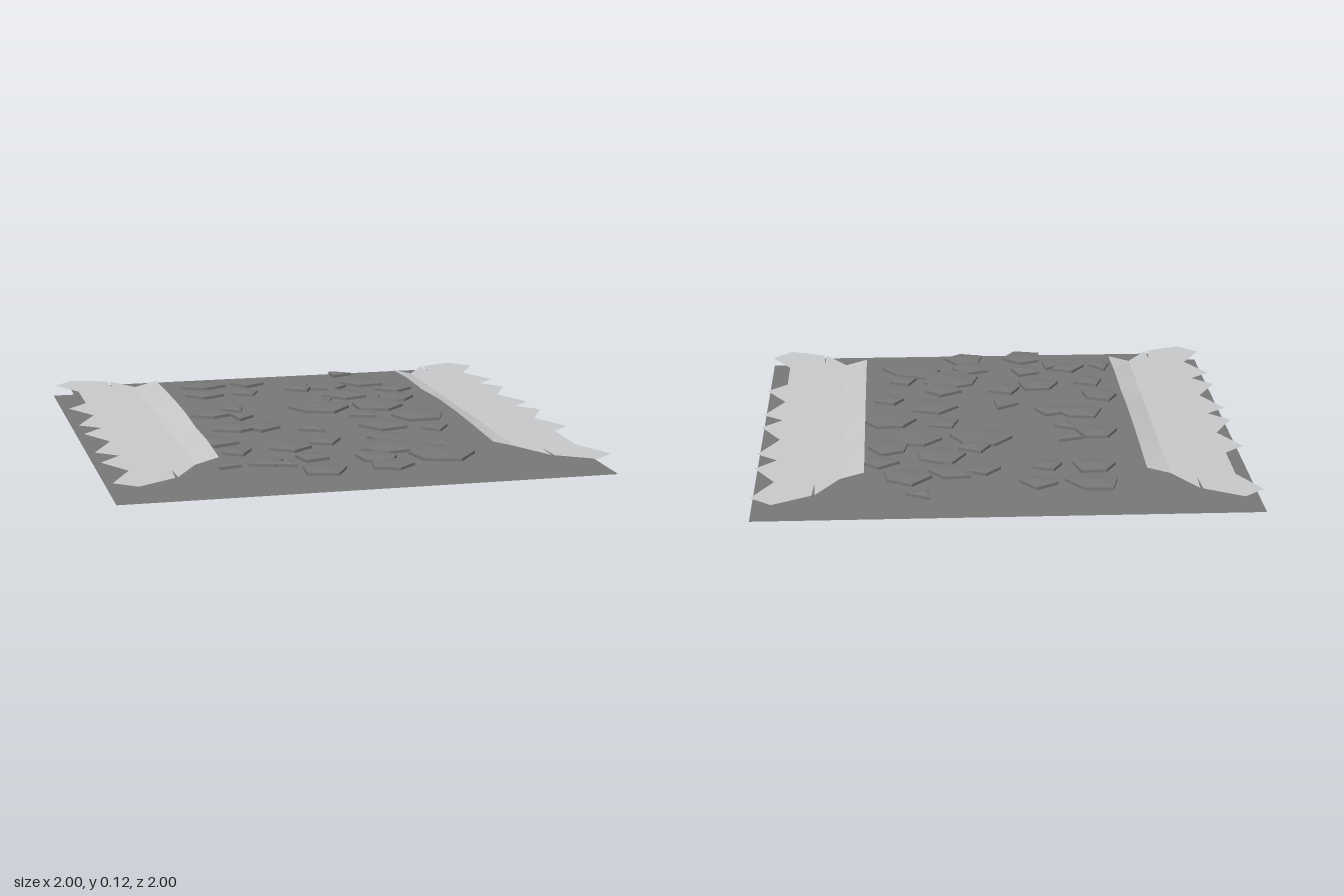
import * as THREE from 'three';

const groundMat = new THREE.MeshStandardMaterial({ color: 0x777777, flatShading: true, side: THREE.DoubleSide });
groundMat.name = 'dark grey ground';
const slabMat = new THREE.MeshStandardMaterial({ color: 0xc6c8ca, flatShading: true, side: THREE.DoubleSide });
slabMat.name = 'light grey bank';

// Stones set in the road: x, z, radius
const STONES = [
  -.35, -.79, .11, -.13, -.78, .08, -.37, -.6, .09, -.18, -.59, .07, -.41, -.19, .09,
  -.29, -.25, .06, -.29, -.1, .06, -.36, .08, .1, -.24, .1, .08, -.04, .19, .06,
  -.48, .31, .09, -.45, .51, .07, -.21, .47, .09, -.06, .41, .08, -.36, .71, .08,
  -.17, .67, .08, -.29, .75, .06, -.17, .87, .09, -.52, .73, .06, .33, -.89, .06,
  .09, -.63, .07, .21, -.64, .09, .4, -.69, .1, .26, -.44, .12, .5, -.52, .08,
  .46, -.35, .09, .11, -.35, .08, .07, -.22, .13, .34, -.21, .13, .23, -.05, .08,
  .46, .01, .13, .27, .18, .11, .45, .27, .07, .23, .42, .09, .17, .55, .13,
  .4, .55, .07, .34, .71, .14, .09, .73, .09, .11, .86, .09,
];

// Seeded random numbers for the stone outlines
let seed = 11;
const rand = () => (seed = (seed * 16807) % 2147483647) / 2147483647;

function plane(name, size, y) {
  const mesh = new THREE.Mesh(new THREE.PlaneGeometry(size, size).rotateX(-Math.PI / 2), groundMat);
  mesh.position.y = y;
  mesh.name = name;
  return mesh;
}

// Low irregular stone with a slightly raised middle
function stone(x, z, r) {
  const sides = r > .12 ? 6 : r > .08 ? 5 : r > .06 ? 4 : 3;
  const scale = Array.from({ length: sides }, () => .8 + rand() * .35);
  const geo = new THREE.CylinderGeometry(r, r, .012, sides, 1);
  const p = geo.attributes.position;
  for (let i = 0; i < p.count; i++) {
    const px = p.getX(i), pz = p.getZ(i);
    if (Math.hypot(px, pz) < 1e-4) {
      if (p.getY(i) > 0) p.setY(i, .014);
      continue;
    }
    const k = Math.round(Math.atan2(px, pz) / (2 * Math.PI) * sides + sides) % sides;
    p.setX(i, px * scale[k]);
    p.setZ(i, pz * scale[k]);
  }
  const mesh = new THREE.Mesh(geo, groundMat);
  mesh.position.set(x, .058, z);
  mesh.rotation.y = rand() * 6.28;
  mesh.name = 'stone';
  return mesh;
}

function bank() {
  const group = new THREE.Group();

  // Jagged, nearly flat outer part with a slit near each end
  const end = [[.655, .75], [.75, .915], [.754, .79], [.762, .92], [.915, 1], [1, .915], [.915, .75]];
  const edge = [[.915, .5], [1, .415], [.915, .25], [1, .08], [.915, 0], [1, -.08], [.915, -.25],
    [1, -.415], [.915, -.5], [1, -.585]];
  const outline = [...end, ...edge, ...end.map(([x, z]) => [x, -z]).reverse()];
  const flat = new THREE.ShapeGeometry(new THREE.Shape(outline.map(([x, z]) => new THREE.Vector2(x, -z))));
  flat.rotateX(-Math.PI / 2);
  const p = flat.attributes.position;
  for (let i = 0; i < p.count; i++) p.setY(i, .064 + (1 - p.getX(i)) * .032);
  const shelf = new THREE.Mesh(flat, slabMat);
  shelf.name = 'jagged shelf';

  // Upturned inner lip whose height wanders along its length
  const heights = [.1, .112, .108, .118, .117, .11, .1];
  const lip = new THREE.PlaneGeometry(.095, 1.5, 1, heights.length - 1).rotateX(-Math.PI / 2);
  const q = lip.attributes.position;
  for (let i = 0; i < q.count; i++) {
    const inner = q.getX(i) < 0;
    q.setX(i, inner ? .56 : .655);
    q.setY(i, inner ? heights[Math.floor(i / 2)] : .075);
  }
  const lipMesh = new THREE.Mesh(lip, slabMat);
  lipMesh.name = 'raised lip';
  group.add(shelf, lipMesh);
  return group;
}

export function createModel() {
  const model = new THREE.Group();
  model.name = 'road tile';
  model.add(plane('base', 2, 0), plane('road surface', 1.87, .052));

  const stones = new THREE.Group();
  stones.name = 'stones';
  for (let i = 0; i < STONES.length; i += 3) stones.add(stone(STONES[i], STONES[i + 1], STONES[i + 2]));
  model.add(stones);

  // The two banks are half-turn copies of each other
  const left = bank(), right = bank();
  left.name = 'leftBank';
  right.name = 'rightBank';
  right.rotation.y = Math.PI;
  model.add(left, right);
  return model;
}
